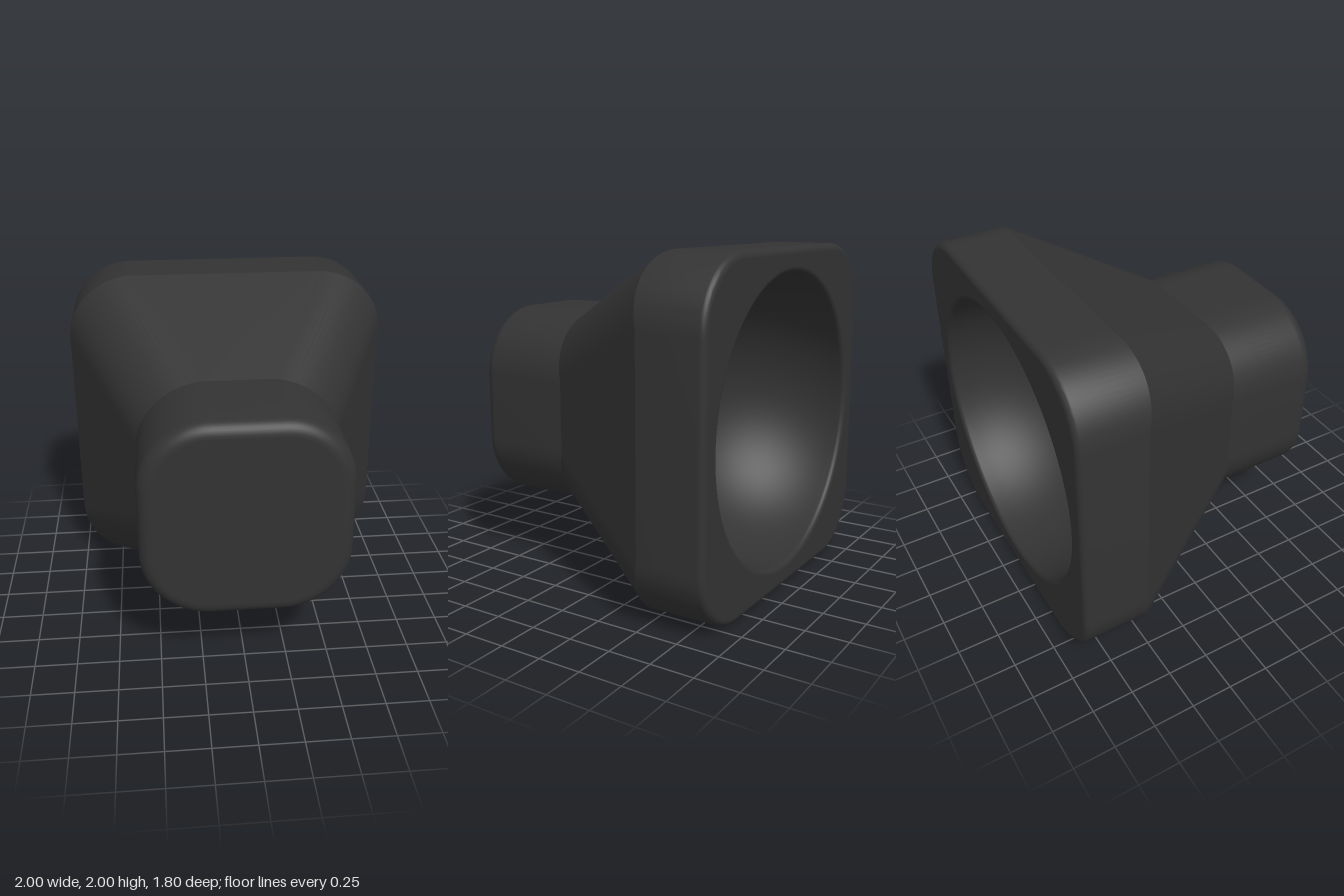
import * as THREE from 'three';
import { toCreasedNormals } from 'three/addons/utils/BufferGeometryUtils.js';

const CORNER = 0.4;        // corner radius of both square blocks
const STEPS = 20;          // segments per rounded corner
const CENTER_Y = 1;

// Where the filleted taper meets a block, as a z shift along the rounded corner.
// theta runs from -45 to 45 degrees about the diagonal.
function seamShift(theta) {
  const a = Math.abs(theta), limit = Math.atan(Math.sqrt(2 / 3));
  const dh = a < limit
    ? (0.0668 - 0.0899 * Math.cos(a)) / Math.SQRT2
    : CORNER * (Math.cos(Math.PI / 4 - a) - 1);
  return -2 * dh;
}

// Rounded square ring, counterclockwise seen from +z.
function ring(half, inset, z, seam = false) {
  const pts = [], c = half - CORNER, r = CORNER - inset;
  for (let k = 0; k < 4; k++) {
    const mid = Math.PI / 4 + k * Math.PI / 2;
    const cx = c * Math.SQRT2 * Math.cos(mid), cy = c * Math.SQRT2 * Math.sin(mid);
    for (let i = 0; i <= STEPS; i++) {
      const theta = (i / STEPS - 0.5) * Math.PI / 2;
      pts.push(new THREE.Vector3(
        cx + r * Math.cos(mid + theta),
        cy + r * Math.sin(mid + theta),
        z + (seam ? seamShift(theta) : 0)));
    }
  }
  return pts;
}

// Skin a list of rings ordered from back to front.
function loft(rings) {
  const n = rings[0].length, index = [];
  const geo = new THREE.BufferGeometry().setFromPoints(rings.flat());
  for (let i = 0; i < rings.length - 1; i++) {
    for (let j = 0; j < n; j++) {
      const a = i * n + j, b = i * n + (j + 1) % n;
      index.push(a, b, b + n, a, b + n, a + n);
    }
  }
  geo.setIndex(index);
  return toCreasedNormals(geo, 0.5);
}

// Rings of a rounded edge; dir is +1 for a front edge, -1 for a back edge.
function edgeRings(half, zEnd, fillet, dir) {
  const rings = [];
  for (let i = 0; i <= 8; i++) {
    const a = i / 8 * Math.PI / 2;
    rings.push(ring(half, fillet * (1 - Math.cos(a)), zEnd - dir * fillet * (1 - Math.sin(a))));
  }
  return dir > 0 ? rings : rings.reverse();
}

function faceShape(half, fillet) {
  return new THREE.Shape(ring(half, fillet, 0).map(p => new THREE.Vector2(p.x, p.y)));
}

export function createModel() {
  const group = new THREE.Group();
  group.name = 'taperedSocket';
  const material = new THREE.MeshStandardMaterial({ color: 0x333333 });
  const bowlMaterial = new THREE.MeshStandardMaterial({ color: 0x333333, side: THREE.DoubleSide });
  const add = (name, geo, mat = material) => {
    const mesh = new THREE.Mesh(geo, mat);
    mesh.name = name;
    mesh.position.y = CENTER_Y;
    group.add(mesh);
    return mesh;
  };

  // Front block with rounded end
  add('frontBlock', loft([ring(0.6, 0, 0.3, true), ...edgeRings(0.6, 0.9, 0.08, 1)]));
  add('frontFace', new THREE.ShapeGeometry(faceShape(0.6, 0.08)).translate(0, 0, 0.9));

  // Sloping body between the two blocks
  add('taper', loft([ring(1, 0, -0.5, true), ring(0.6, 0, 0.3, true)]));

  // Wide back block
  add('backBlock', loft([...edgeRings(1, -0.9, 0.04, -1), ring(1, 0, -0.5, true)]));

  // Back face with a round opening
  const bowlR = 0.86, lip = 0.03;
  const back = faceShape(1, 0.04);
  back.holes.push(new THREE.Path().absarc(0, 0, bowlR + lip, 0, Math.PI * 2, true));
  add('backFace', new THREE.ShapeGeometry(back, 48).rotateY(Math.PI).translate(0, 0, -0.9));

  // Hemispherical bowl with a softened lip
  const profile = [];
  for (let i = 0; i <= 32; i++) {
    const a = i / 32 * Math.PI / 2;
    profile.push(new THREE.Vector2(bowlR * Math.sin(a), -0.9 + lip + bowlR * Math.cos(a)));
  }
  for (let i = 1; i <= 6; i++) {
    const a = i / 6 * Math.PI / 2;
    profile.push(new THREE.Vector2(bowlR + lip * (1 - Math.cos(a)), -0.9 + lip * (1 - Math.sin(a))));
  }
  add('bowl', new THREE.LatheGeometry(profile, 96).rotateX(Math.PI / 2), bowlMaterial);

  return group;
}
